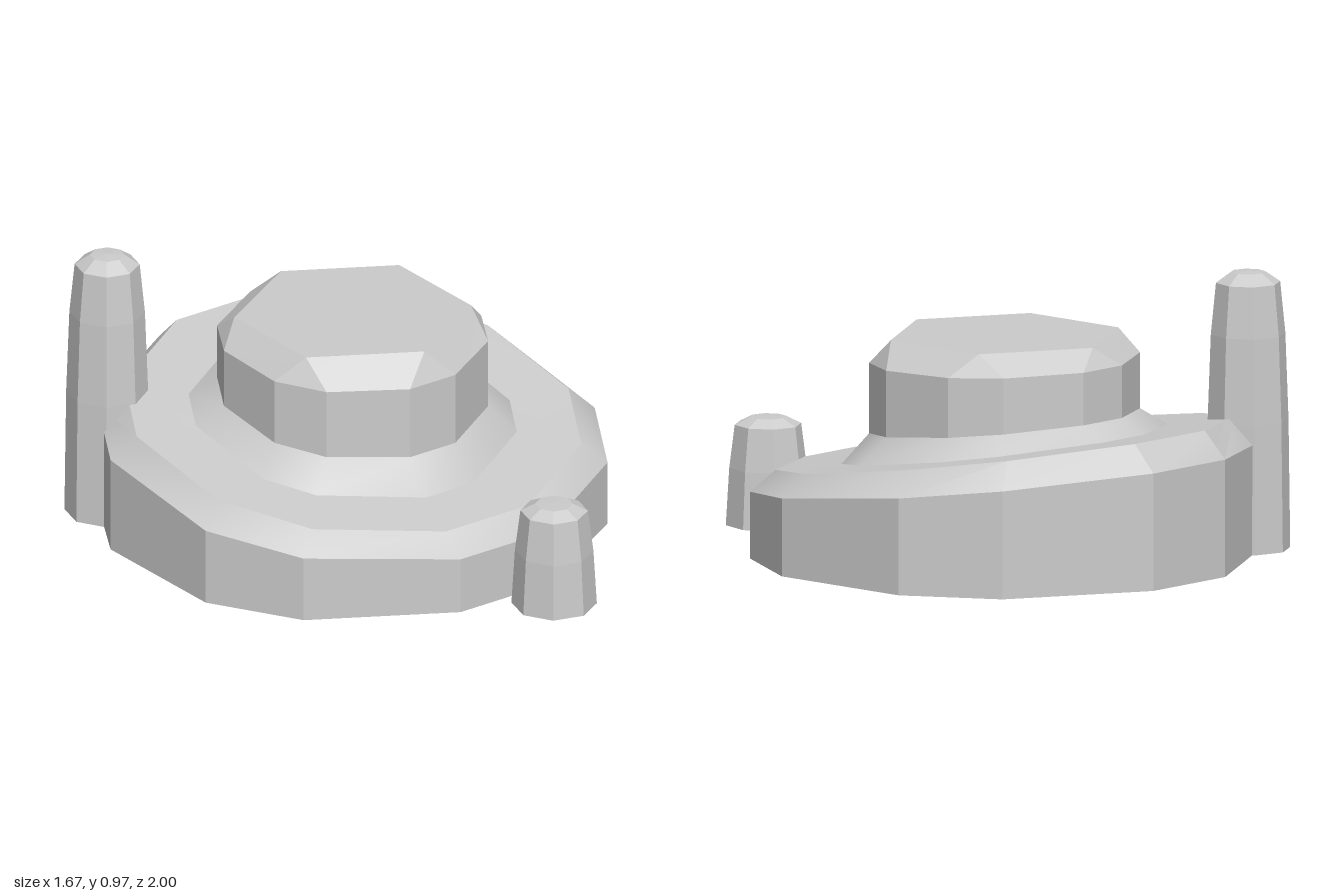
import * as THREE from 'three';
import { toCreasedNormals } from 'three/addons/utils/BufferGeometryUtils.js';

const CENTRE_Z = -0.14;
const material = new THREE.MeshStandardMaterial({ color: 0xcccccc, side: THREE.DoubleSide });
const flatMaterial = new THREE.MeshStandardMaterial({ color: 0xcccccc, side: THREE.DoubleSide, flatShading: true });

// A hexagon with its corners cut: two points at each 60 degree corner.
// The height follows a plane that rises towards the back.
function ring({ r, cut, y, slope }) {
  const points = [];
  for (let k = 0; k < 6; k++) {
    for (const side of [-1, 1]) {
      const a = THREE.MathUtils.degToRad(60 * k + side * cut);
      const z = CENTRE_Z + r * Math.cos(a);
      points.push(new THREE.Vector3(r * Math.sin(a), y - slope * z, z));
    }
  }
  return points;
}

// Joins rings from the bottom up, leaving out empty triangles
function loft(specs, capped) {
  const rings = specs.map(ring);
  const positions = [];
  const add = (a, b, c) => {
    if (new THREE.Triangle(a, b, c).getArea() < 1e-6) return;
    for (const p of [a, b, c]) positions.push(p.x, p.y, p.z);
  };
  for (let i = 0; i < rings.length - 1; i++) {
    const low = rings[i], high = rings[i + 1];
    for (let j = 0; j < 12; j++) {
      const n = (j + 1) % 12;
      add(low[j], low[n], high[n]);
      add(low[j], high[n], high[j]);
    }
  }
  if (capped) {
    const top = rings[rings.length - 1];
    for (let j = 1; j < 11; j++) add(top[0], top[j], top[j + 1]);
  }
  const geometry = new THREE.BufferGeometry();
  geometry.setAttribute('position', new THREE.Float32BufferAttribute(positions, 3));
  return toCreasedNormals(geometry, 0.42);
}

// Tapered eight-sided post with a domed top and an open foot
function post(name, x, z, profile) {
  const points = profile.map(([r, y]) => new THREE.Vector2(r, y));
  const mesh = new THREE.Mesh(new THREE.LatheGeometry(points, 8, 0.12), flatMaterial);
  mesh.name = name;
  mesh.position.set(x, 0, z);
  return mesh;
}

export function createModel() {
  const model = new THREE.Group();
  model.name = 'tieredBaseWithPosts';

  // Sloping tiers, open underneath
  const foot = { r: 0.88, cut: 12, y: 0, slope: 0 };
  const wallTop = { r: 0.88, cut: 12, y: 0.288, slope: 0.122 };
  const deckEdge = { r: 0.79, cut: 13, y: 0.365, slope: 0.15 };
  const skirtFoot = { r: 0.565, cut: 10.3, y: 0.363, slope: 0.155 };
  const drumFoot = { r: 0.468, cut: 12, y: 0.45, slope: 0.114 };
  const drumTop = { r: 0.468, cut: 12, y: 0.682, slope: 0.033 };
  const capEdge = { r: 0.41, cut: 0, y: 0.77, slope: 0 };

  const tiers = [
    ['baseWall', [foot, wallTop]],
    ['deck', [wallTop, deckEdge, skirtFoot]],
    ['skirt', [skirtFoot, drumFoot]],
    ['drum', [drumFoot, drumTop]],
    ['cap', [drumTop, capEdge], true],
  ];
  for (const [name, specs, capped] of tiers) {
    const mesh = new THREE.Mesh(loft(specs, capped), material);
    mesh.name = name;
    model.add(mesh);
  }

  // Short post at the front, tall one at the back
  model.add(
    post('frontPost', 0.12, 0.853, [[0.147, 0], [0.135, 0.2], [0.116, 0.35], [0.065, 0.376], [0, 0.378]]),
    post('backPost', -0.65, -0.68, [[0.147, 0], [0.141, 0.45], [0.13, 0.75], [0.112, 0.93], [0.06, 0.966], [0, 0.97]]),
  );
  return model;
}
